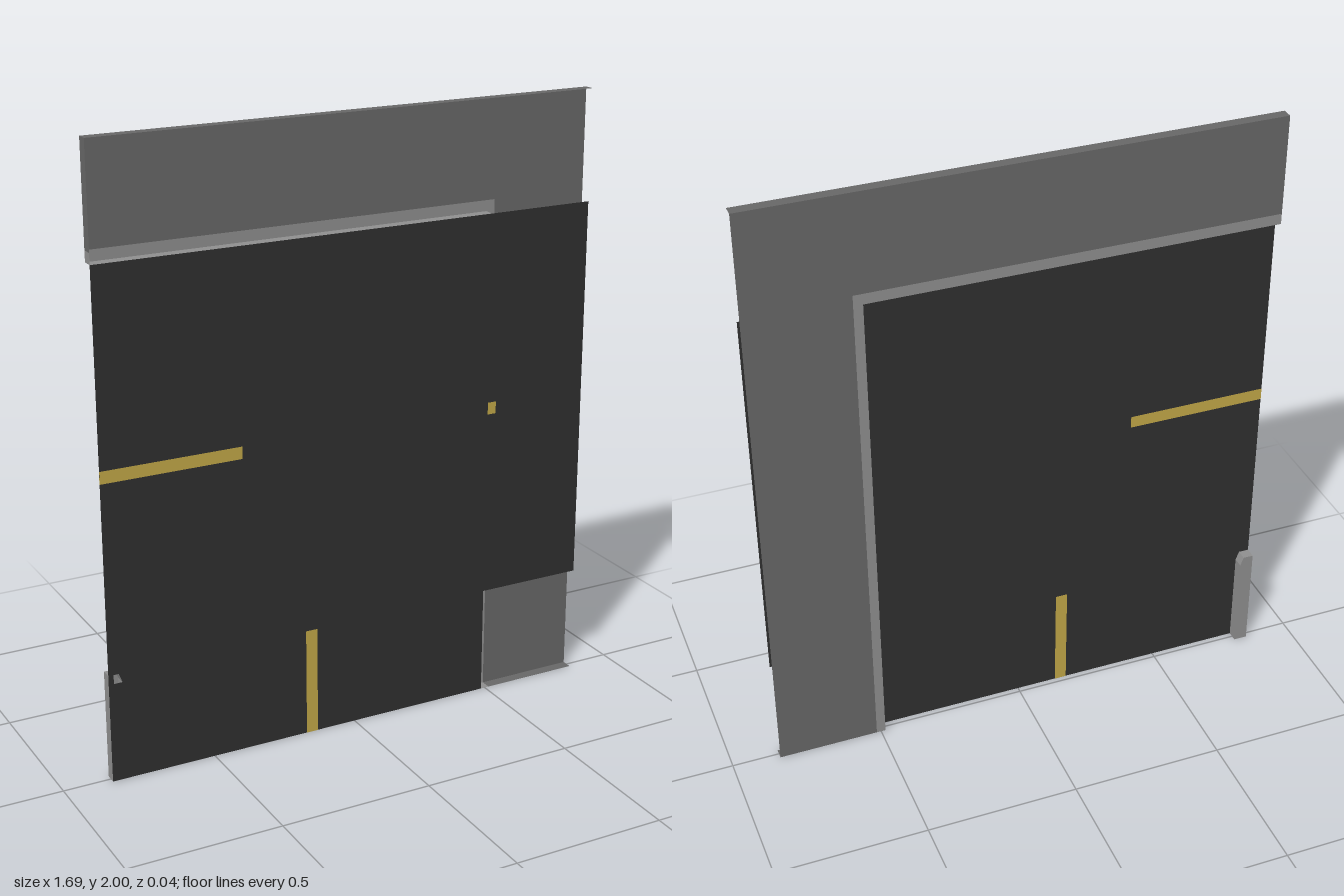
import * as THREE from 'three';

const X = 0.845, D = 0.018; // half width, half thickness
const material = (color) => new THREE.MeshStandardMaterial({ color, side: THREE.DoubleSide });

export function createModel() {
  const group = new THREE.Group();
  const asphalt = material(0x303030);
  const paving = material(0x686868);
  const kerb = material(0x909090);
  const paint = material(0xc4aa48);

  const add = (name, geometry, mat) => {
    const mesh = new THREE.Mesh(geometry, mat);
    mesh.name = name;
    group.add(mesh);
    return mesh;
  };
  const outline = (points) => new THREE.Shape(points.map(([x, y]) => new THREE.Vector2(x, y)));
  const sheet = (name, points, z, mat) => {
    add(name, new THREE.ShapeGeometry(outline(points)), mat).position.z = z;
  };
  // Open wall spanning the full thickness between two points in the x-y plane
  const wall = (name, x0, y0, x1, y1, mat) => {
    const mesh = add(name, new THREE.PlaneGeometry(Math.hypot(x1 - x0, y1 - y0), 2 * D), mat);
    mesh.geometry.rotateX(Math.PI / 2);
    mesh.rotation.z = Math.atan2(y1 - y0, x1 - x0);
    mesh.position.set((x0 + x1) / 2, (y0 + y1) / 2, 0);
  };

  // Road surface, with a small notch beside the corner kerb
  const road = outline([[-X, 0], [0.485, 0], [0.485, 0.36], [X, 0.36], [X, 1.64], [-X, 1.64]]);
  road.holes.push(new THREE.Path([[-0.828, 0.33], [-0.828, 0.36], [-0.811, 0.36], [-0.8, 0.33]]
    .map(([x, y]) => new THREE.Vector2(x, y))));
  add('road', new THREE.ShapeGeometry(road), asphalt).position.z = D;

  // Painted lane lines, seen on both faces of the road
  const lines = [[-X, 0.98, -0.385, 1.02], [0.485, 0.98, 0.515, 1.02], [-0.175, 0, -0.135, 0.36]];
  for (const [x0, y0, x1, y1] of lines) {
    for (const z of [D - 0.001, D + 0.001]) {
      sheet('laneLine', [[x0, y0], [x1, y0], [x1, y1], [x0, y1]], z, paint);
    }
  }

  // Raised pavement and its outer walls; the +x side stays open
  sheet('pavement', [[0.515, 0], [X, 0], [X, 2], [-X, 2], [-X, 1.675], [0.515, 1.675]], -D, paving);
  wall('pavementTopWall', -X, 2, X, 2, paving);
  wall('pavementSideWall', -X, 1.675, -X, 2, paving);
  wall('pavementBottomWall', 0.515, 0, X, 0, paving);

  // L-shaped kerb along the pavement
  sheet('kerbTop', [[0.485, 0], [0.515, 0], [0.515, 1.675], [-X, 1.675], [-X, 1.64], [0.485, 1.64]], -D, kerb);
  wall('kerbSide', 0.485, 0, 0.485, 1.64, kerb);
  wall('kerbSide', -X, 1.64, 0.485, 1.64, kerb);
  wall('kerbEnd', -X, 1.64, -X, 1.675, kerb);
  wall('kerbEnd', 0.485, 0, 0.515, 0, kerb);

  // Corner kerb piece with a chamfered end
  const corner = [[-X, 0], [-0.8, 0], [-0.8, 0.33], [-0.811, 0.36], [-X, 0.36]];
  sheet('cornerKerbTop', corner, -D, kerb);
  corner.forEach(([x, y], i) => {
    const [x1, y1] = corner[(i + 1) % corner.length];
    wall('cornerKerbSide', x, y, x1, y1, kerb);
  });

  return group;
}
